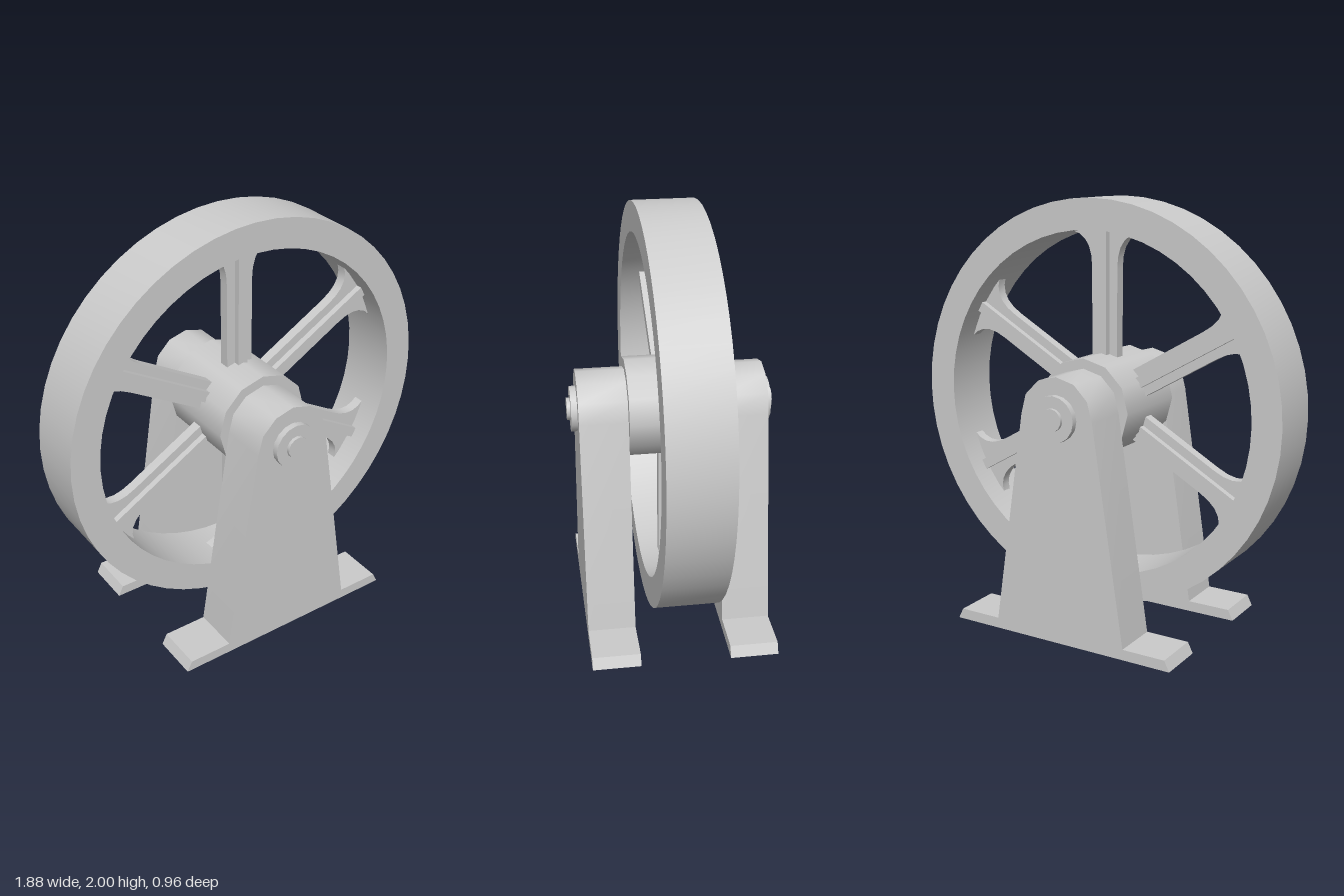
import * as THREE from 'three';
import { toCreasedNormals } from 'three/addons/utils/BufferGeometryUtils.js';

const AXLE_Y = 1.06;
const grey = new THREE.MeshStandardMaterial({ color: 0xcccccc });
const greyShell = new THREE.MeshStandardMaterial({ color: 0xcccccc, side: THREE.DoubleSide });

function addMesh(parent, name, geometry, material = grey) {
  const mesh = new THREE.Mesh(geometry, material);
  mesh.name = name;
  parent.add(mesh);
  return mesh;
}

// Extrude a shape along z, centred on z = 0
function slab(shape, depth, curveSegments = 12) {
  const g = new THREE.ExtrudeGeometry(shape, { depth, curveSegments, bevelEnabled: false });
  g.translate(0, 0, -depth / 2);
  return toCreasedNormals(g, 0.56);
}

// Cylinder lying along z
function disc(radius, depth, sides) {
  return new THREE.CylinderGeometry(radius, radius, depth, sides).rotateX(Math.PI / 2);
}

// Flat spoke web, flaring where it meets the rim
function spokeShape() {
  const s = new THREE.Shape();
  s.moveTo(-0.067, 0.18);
  s.lineTo(0.067, 0.18);
  s.lineTo(0.067, 0.62);
  s.quadraticCurveTo(0.066, 0.765, 0.172, 0.785);
  s.lineTo(0.1, 0.815);
  s.lineTo(-0.1, 0.815);
  s.lineTo(-0.172, 0.785);
  s.quadraticCurveTo(-0.066, 0.765, -0.067, 0.62);
  s.closePath();
  return s;
}

// Tapered stand with round head and side feet, hollow and open underneath
function standGeometry() {
  const pts = [[0.575, 0], [0.55, 0.05], [0.34, 0.05]];
  for (let i = 0; i <= 6; i++) {
    const a = (i * Math.PI) / 6;
    pts.push([0.185 * Math.cos(a), AXLE_Y + 0.185 * Math.sin(a)]);
  }
  pts.push([-0.34, 0.05], [-0.55, 0.05], [-0.575, 0]);
  const solid = slab(new THREE.Shape(pts.map(([x, y]) => new THREE.Vector2(x, y))), 0.225);

  // Drop the triangles lying on the ground
  const p = solid.getAttribute('position');
  const n = solid.getAttribute('normal');
  const pos = [], nor = [];
  for (let i = 0; i < p.count; i += 3) {
    if (Math.max(p.getY(i), p.getY(i + 1), p.getY(i + 2)) < 1e-4) continue;
    for (let j = i; j < i + 3; j++) {
      pos.push(p.getX(j), p.getY(j), p.getZ(j));
      nor.push(n.getX(j), n.getY(j), n.getZ(j));
    }
  }
  const g = new THREE.BufferGeometry();
  g.setAttribute('position', new THREE.Float32BufferAttribute(pos, 3));
  g.setAttribute('normal', new THREE.Float32BufferAttribute(nor, 3));
  return g;
}

export function createModel() {
  const model = new THREE.Group();
  model.name = 'flywheelOnStands';

  // Wheel: rim, hub and six ribbed spokes
  const wheel = new THREE.Group();
  wheel.name = 'wheel';
  wheel.position.y = AXLE_Y;
  model.add(wheel);

  const ring = new THREE.Shape().absarc(0, 0, 0.94, 0, Math.PI * 2);
  ring.holes.push(new THREE.Path().absarc(0, 0, 0.8, 0, Math.PI * 2, true));
  addMesh(wheel, 'rim', slab(ring, 0.29, 28));
  addMesh(wheel, 'hub', disc(0.232, 0.42, 12));

  const webGeometry = slab(spokeShape(), 0.05, 5);
  const ribGeometry = new THREE.BoxGeometry(0.05, 0.63, 0.11).translate(0, 0.495, 0);
  for (let i = 0; i < 6; i++) {
    const spoke = new THREE.Group();
    spoke.name = 'spoke';
    spoke.rotation.z = (i * Math.PI) / 3;
    addMesh(spoke, 'spokeWeb', webGeometry);
    addMesh(spoke, 'spokeRib', ribGeometry);
    wheel.add(spoke);
  }

  // A stand, washer and axle end on each side
  const stand = standGeometry();
  const washer = disc(0.106, 0.03, 16);
  const axleEnd = disc(0.052, 0.05, 14);
  for (const side of [1, -1]) {
    addMesh(model, side > 0 ? 'frontStand' : 'backStand', stand, greyShell).position.z = side * 0.3225;
    addMesh(model, 'washer', washer).position.set(0, AXLE_Y, side * 0.449);
    addMesh(model, 'axleEnd', axleEnd).position.set(0, AXLE_Y, side * 0.455);
  }
  return model;
}
